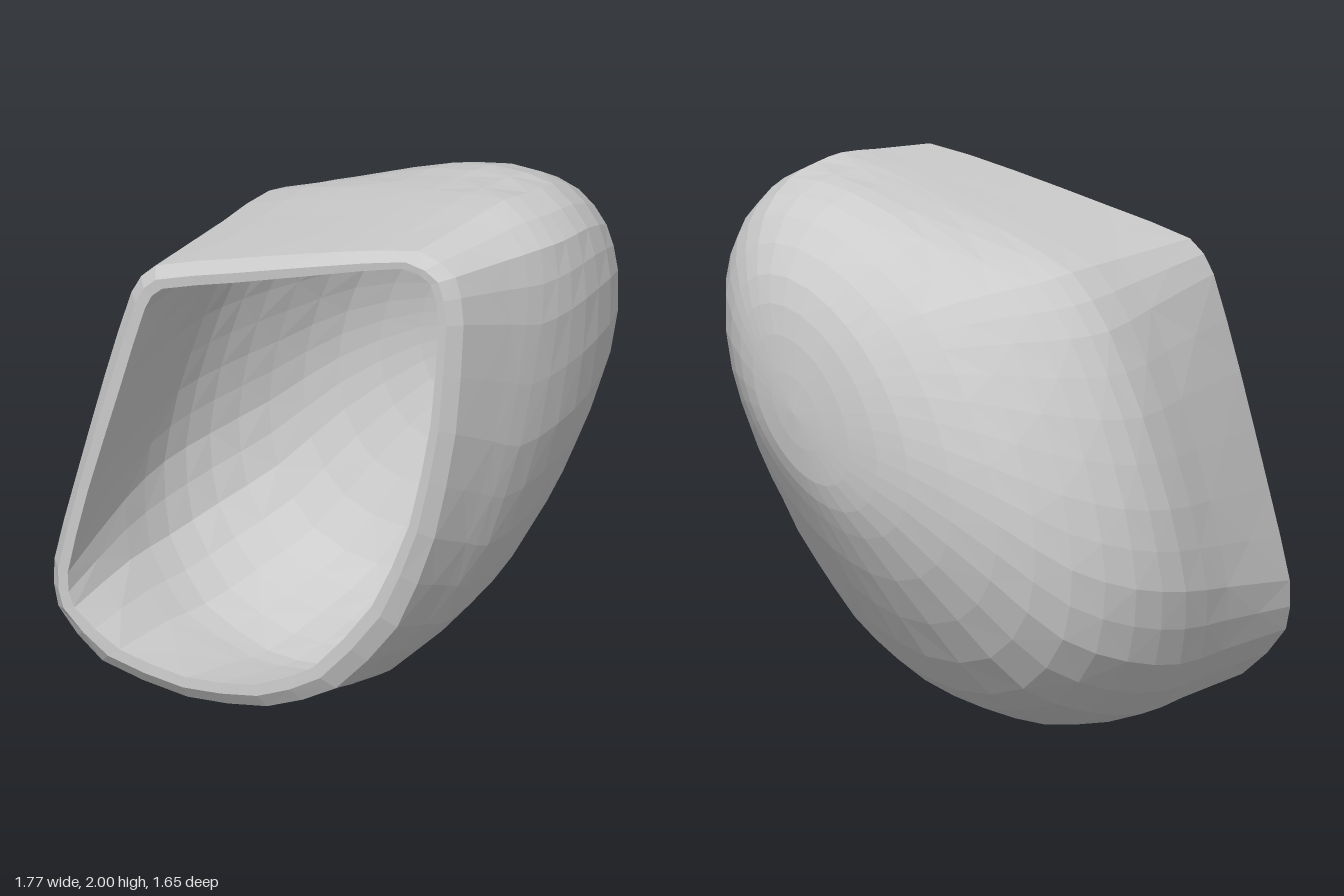
import * as THREE from 'three';

// Matching outlines, counter-clockwise from the top-left corner: [x, y]
const OPENING = [[-.27, 1.64], [-.335, 1.55], [-.43, 1.22], [-.55, .8], [-.625, .47], [-.6, .34],
  [-.43, .21], [-.18, .15], [.08, .17], [.3, .28], [.52, .56], [.66, .9], [.74, 1.3], [.77, 1.7],
  [.74, 1.85], [.63, 1.89], [.3, 1.8], [0, 1.715]];
const RIM = [[-.32, 1.71], [-.41, 1.59], [-.51, 1.25], [-.62, .83], [-.7, .5], [-.685, .32],
  [-.52, .14], [-.2, .06], [.1, .08], [.36, .2], [.59, .48], [.73, .85], [.81, 1.27], [.84, 1.7],
  [.81, 1.88], [.67, 1.955], [.35, 1.89], [0, 1.8]];
const BELLY = [[-.46, 1.725], [-.62, 1.53], [-.75, 1.23], [-.845, .9], [-.885, .6], [-.82, .32],
  [-.6, .1], [-.25, .005], [.06, .03], [.32, .155], [.56, .4], [.72, .73], [.83, 1.13], [.88, 1.6],
  [.845, 1.87], [.65, 2], [.3, 1.94], [-.1, 1.84]];

// Sections behind the belly: centre, half sizes, depth, slope of depth with height, roundness
const BACK = [
  { cx: .005, cy: 1.03, hx: .875, hy: .965, z: -.14, slope: -.05, round: .2 },
  { cx: .035, cy: 1.09, hx: .81, hy: .89, z: -.4, slope: 0, round: .5 },
  { cx: .08, cy: 1.185, hx: .675, hy: .7, z: -.6, slope: 0, round: .8 },
  { cx: .14, cy: 1.25, hx: .44, hy: .45, z: -.75, slope: 0, round: 1 },
  { cx: .18, cy: 1.24, hx: .24, hy: .26, z: -.805, slope: 0, round: 1 },
];
const AROUND = 36, STEPS = 16;

const rimZ = x => .61 - .315 * x;   // the opening lies in one slanted plane

// Low tension keeps the straight edges of an outline straight
function sample(outline, i) {
  const points = outline.map(([x, y]) => new THREE.Vector3(x, y, 0));
  return new THREE.CatmullRomCurve3(points, true, 'catmullrom', .3).getPoint((i % AROUND) / AROUND);
}

// A belly point fitted to a back section, drawn toward a slanted ellipse
function backPoint(p, s) {
  const u = p.x / .88, v = p.y - 1, c = .47;
  const k = Math.sqrt((1 - c * c) / (u * u - 2 * c * u * v + v * v));
  const f = 1 + (k - 1) * s.round;
  return new THREE.Vector3(s.cx + s.hx * u * f, s.cy + s.hy * v * f, s.z + s.slope * p.y);
}

// The inner wall, one shell thickness inside the outer one
const inset = p => new THREE.Vector3(p.x * .9, 1 + (p.y - 1) * .915, p.z * .945 + .045);

// One line from inner apex to the rim and over the outside to the outer apex
function meridian(i) {
  const open = sample(OPENING, i), rim = sample(RIM, i), belly = sample(BELLY, i);
  open.z = rimZ(open.x);
  rim.z = rimZ(rim.x) - .035;
  const lip = open.clone().lerp(rim, .45);
  lip.z = rimZ(lip.x) + .003;
  belly.z = .15 - .13 * belly.y;
  const shoulder = rim.clone().lerp(belly, .6);
  const body = [shoulder, belly, ...BACK.map(s => backPoint(belly, s)), new THREE.Vector3(.2, 1.23, -.825)];
  const outerLine = new THREE.CatmullRomCurve3([rim, ...body]).getPoints(STEPS);
  const innerLine = new THREE.CatmullRomCurve3([open, ...body.map(inset)]).getPoints(STEPS);
  return [...innerLine.reverse(), lip, ...outerLine];
}

function shellGeometry() {
  const lines = Array.from({ length: AROUND }, (_, i) => meridian(i));
  const positions = [];
  const tri = (a, b, c) => {
    if (a.distanceTo(b) < 1e-6 || b.distanceTo(c) < 1e-6 || c.distanceTo(a) < 1e-6) return;
    for (const p of [a, b, c]) positions.push(p.x, p.y, p.z);
  };
  for (let i = 0; i < AROUND; i++) {
    const l = lines[i], m = lines[(i + 1) % AROUND];
    for (let j = 0; j < l.length - 1; j++) {
      const a = l[j], b = m[j], c = l[j + 1], d = m[j + 1];
      // alternating diagonals give the faceted surface
      if ((i + j) % 2) { tri(a, c, b); tri(b, c, d); }
      else { tri(a, c, d); tri(a, d, b); }
    }
  }
  const geometry = new THREE.BufferGeometry();
  geometry.setAttribute('position', new THREE.Float32BufferAttribute(positions, 3));
  geometry.computeVertexNormals();
  return geometry;
}

export function createModel() {
  const group = new THREE.Group();
  group.name = 'hollowPod';
  const material = new THREE.MeshStandardMaterial({ color: 0xcccccc, flatShading: true });
  const shell = new THREE.Mesh(shellGeometry(), material);
  shell.name = 'shell';
  group.add(shell);
  return group;
}
